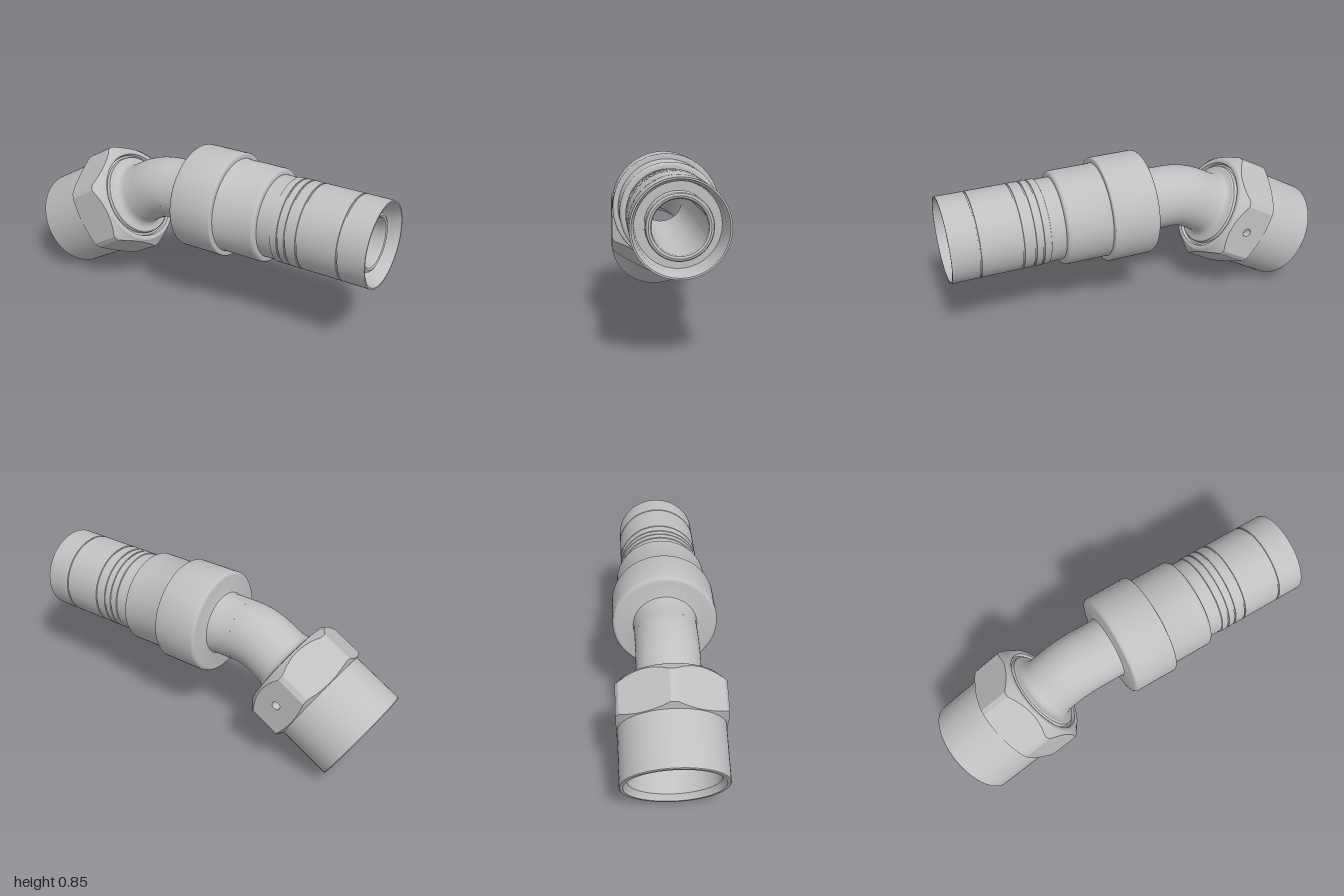
import * as THREE from 'three';
import { toCreasedNormals } from 'three/addons/utils/BufferGeometryUtils.js';

const AXIS_Y = 0.585;   // height of the straight body axis
const BEND_X = -0.175;  // where the elbow starts
const BEND_R = 0.3;     // elbow centreline radius
const PIPE = 0.16, BORE = 0.12;

export function createModel() {
  const model = new THREE.Group();
  const steel = new THREE.MeshStandardMaterial({ color: 0xc0c0c0, side: THREE.DoubleSide });
  steel.name = 'grey steel';

  const add = (parent, name, geometry) => {
    const mesh = new THREE.Mesh(geometry, steel);
    mesh.name = name;
    parent.add(mesh);
    return mesh;
  };
  // profile points are [position along axis, radius]
  const turned = (pts) => toCreasedNormals(
    new THREE.LatheGeometry(pts.map(([u, r]) => new THREE.Vector2(r, u)), 72), 0.5);
  // quarter-round corner between two profile directions
  const round = (u, r, rad, from, to) => [0, 1, 2, 3, 4].map((i) => {
    const a = from + (to - from) * i / 4;
    return [u + rad * Math.cos(a), r + rad * Math.sin(a)];
  });
  const groove = (u) => [[u - 0.004, 0.216], [u - 0.003, 0.211], [u + 0.003, 0.211], [u + 0.004, 0.216]];
  const H = Math.PI / 2;

  // Straight body along x: pipe, stepped collars, grooved sleeve
  const body = new THREE.Group();
  body.name = 'straightBody';
  body.position.y = AXIS_Y;
  body.rotation.z = -H;
  model.add(body);
  add(body, 'pipeAndCollars', turned([
    [BEND_X, PIPE], [-0.055, PIPE], [-0.045, 0.164], [-0.04, 0.175],
    ...round(-0.02, 0.25, 0.02, Math.PI, H),
    ...round(0.195, 0.262, 0.008, H, 0),
    [0.203, 0.243], [0.207, 0.241],
    ...round(0.417, 0.223, 0.018, H, 0),
    [0.435, 0.211], [0.51, 0.211], [0.512, 0.216],
    ...groove(0.55), ...groove(0.59), ...groove(0.65), ...groove(0.86),
    [1, 0.216], [1, 0.208], [0.96, 0.195], [0.87, 0.19], [0.87, 0.148],
  ]));
  // Inner spigot with a rounded tip and the through bore
  add(body, 'innerSpigot', turned([
    [0.87, 0.148], ...round(0.946, 0.134, 0.014, H, -H), [0.94, BORE], [BEND_X, BORE],
  ]));

  // Elbow, outside and bore
  for (const [name, r] of [['elbow', PIPE], ['elbowBore', BORE]]) {
    const elbow = add(model, name, new THREE.TorusGeometry(BEND_R, r, 64, 20, Math.PI / 6));
    elbow.position.set(BEND_X, AXIS_Y - BEND_R, 0);
    elbow.rotation.z = H;
  }

  // Angled end: local y runs from the open mouth towards the elbow
  const swivel = new THREE.Group();
  swivel.name = 'swivelEnd';
  swivel.position.set(-0.87, 0.23, 0);
  swivel.rotation.z = -Math.PI / 3;
  model.add(swivel);
  add(swivel, 'nutSleeve', turned([
    [0.28, 0.14], [0.27, 0.215], [0.03, 0.222], [0.012, 0.236], [0, 0.242],
    [0, 0.256], [0.004, 0.26], [0.3, 0.26],
  ]));
  add(swivel, 'retainingLip', turned([
    [0.48, 0.262], ...round(0.492, 0.245, 0.017, H, 0), [0.507, 0.232], [0.49, 0.226], [0.49, 0.212],
  ]));
  add(swivel, 'pipeFlare', turned([
    [0.49, 0.215], [0.508, 0.212], [0.514, 0.205], [0.517, 0.185], [0.525, 0.172],
    [0.54, 0.163], [0.56, PIPE], [0.63, PIPE],
  ]));
  add(swivel, 'pipeBore', turned([[0.63, BORE], [0.3, BORE], [0.28, 0.14]]));

  // Hexagon with trimmed corners and conical chamfers at both ends
  const FLAT = 0.265, CORNER = 0.298, BASE = 0.26;
  const half = Math.acos(FLAT / CORNER);
  const section = (a) => {
    const r = FLAT / Math.cos(a);
    return { r, rings: [[0.28, BASE], [0.28 + (r - BASE) * 0.5, r], [0.5 - (r - BASE), r], [0.5, BASE]] };
  };
  const steps = [-3, -2, -1, 0, 1, 2, 3].map((i) => half * i / 3);
  const columns = [];
  for (let k = 0; k < 6; k++) {
    for (const s of steps) {
      const a = k * Math.PI / 3 + s;
      columns.push(section(s).rings.map(([u, r]) => [r * Math.sin(a), u, r * Math.cos(a)]));
    }
  }
  const pos = [];
  columns.forEach((c, i) => {
    const n = columns[(i + 1) % columns.length];
    const drilled = Math.floor(i / 7) === 3 && i % 7 < 6;
    for (let j = 0; j < 3; j++) {
      if (drilled && j === 1) continue;  // this flat is replaced by the drilled one
      pos.push(...c[j], ...n[j], ...n[j + 1], ...c[j], ...n[j + 1], ...c[j + 1]);
    }
  });
  const hex = new THREE.BufferGeometry();
  hex.setAttribute('position', new THREE.Float32BufferAttribute(pos, 3));
  add(swivel, 'hexNut', toCreasedNormals(hex, 0.3));

  // Rear flat with a small drilled hole
  const edge = (j, list) => list.map((s) => new THREE.Vector2(FLAT * Math.tan(s), section(s).rings[j][0]));
  const face = new THREE.Shape([...edge(1, steps), ...edge(2, [...steps].reverse())]);
  face.holes.push(new THREE.Path().absarc(0, 0.39, 0.022, 0, Math.PI * 2, true));
  const flat = add(swivel, 'drilledFlat', new THREE.ShapeGeometry(face, 16));
  flat.position.z = -FLAT;
  flat.rotation.y = Math.PI;
  const hole = add(swivel, 'drilledHole', turned([[0, 0.001], [0, 0.022], [0.04, 0.022]]));
  hole.position.set(0, 0.39, -FLAT + 0.04);
  hole.rotation.x = -H;

  return model;
}
